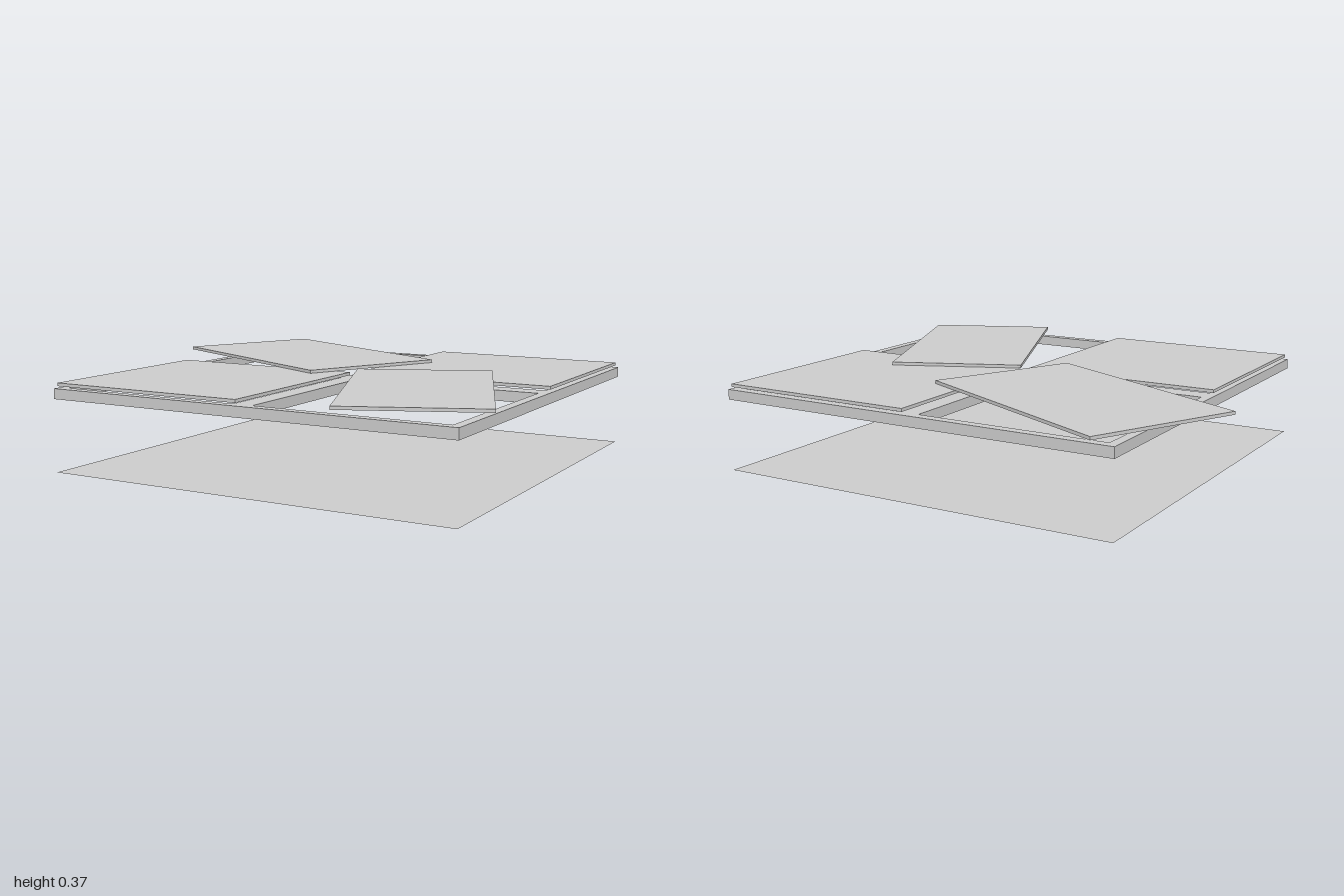
import * as THREE from 'three';

const material = new THREE.MeshStandardMaterial({ color: 0xcccccc, flatShading: true });
const CX = 0.083, CZ = 0.0075; // centre of the frame
const SIZE = 1.735;

// Square path, used for the frame outline and its openings
function square(path, x, z, size) {
  const h = size / 2;
  path.moveTo(x - h, z - h);
  path.lineTo(x + h, z - h);
  path.lineTo(x + h, z + h);
  path.lineTo(x - h, z + h);
  path.closePath();
  return path;
}

export function createModel() {
  const group = new THREE.Group();

  function add(name, geometry, x, y, z, turn = 0, mat = material) {
    const mesh = new THREE.Mesh(geometry, mat);
    mesh.name = name;
    mesh.position.set(x, y, z);
    mesh.rotation.y = -THREE.MathUtils.degToRad(turn);
    group.add(mesh);
  }

  // Ground sheet, thin and seen from both sides
  const sheetMaterial = material.clone();
  sheetMaterial.side = THREE.DoubleSide;
  add('baseSheet', new THREE.PlaneGeometry(SIZE, SIZE).rotateX(-Math.PI / 2), CX, 0, CZ, 0, sheetMaterial);

  // Window frame with four openings
  const outline = square(new THREE.Shape(), 0, 0, SIZE);
  for (const sx of [-1, 1]) {
    for (const sz of [-1, 1]) {
      outline.holes.push(square(new THREE.Path(), sx * 0.435, sz * 0.435, 0.787));
    }
  }
  const frame = new THREE.ExtrudeGeometry(outline, { depth: 0.042, bevelEnabled: false });
  add('frame', frame.rotateX(Math.PI / 2), CX, 0.337, CZ);

  // Square panels lying over two opposite openings
  const panel = new THREE.BoxGeometry(0.845, 0.013, 0.845);
  add('backLeftPanel', panel, CX + 0.435, 0.3525, CZ - 0.435);
  add('frontRightPanel', panel, CX - 0.435, 0.3525, CZ + 0.435);

  // Turned panels lying loosely on top
  add('largeTurnedPanel', new THREE.BoxGeometry(1.059, 0.013, 0.643), -0.3825, 0.3665, -0.382, 26.2);
  add('smallTurnedPanel', new THREE.BoxGeometry(0.979, 0.013, 0.56), 0.546, 0.3665, 0.338, 66.84);

  return group;
}
